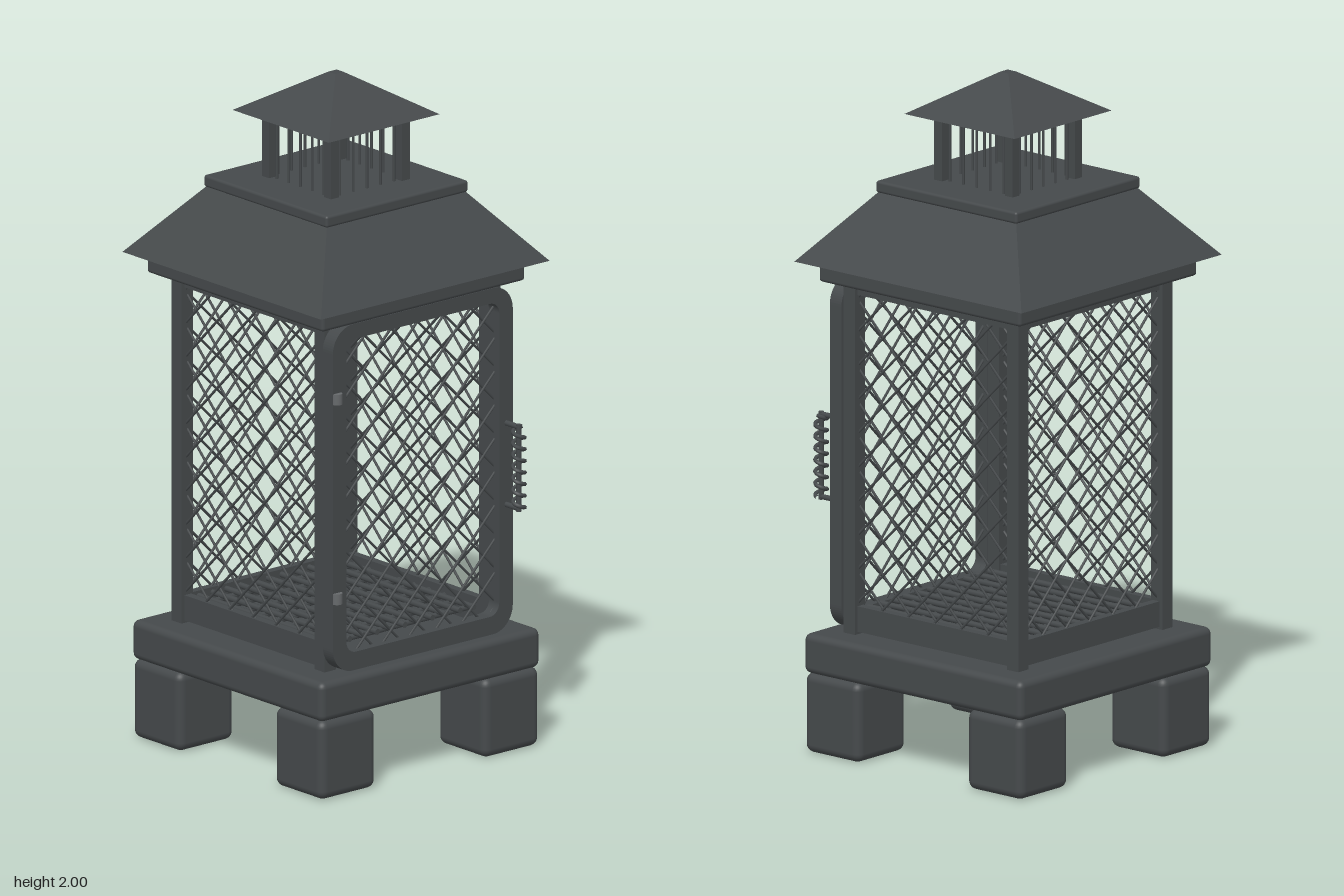
import * as THREE from 'three';
import { mergeGeometries } from 'three/addons/utils/BufferGeometryUtils.js';
import { RoundedBoxGeometry } from 'three/addons/geometries/RoundedBoxGeometry.js';

const iron = new THREE.MeshStandardMaterial({ color: 0x45494b });
const ironFlat = new THREE.MeshStandardMaterial({ color: 0x45494b, flatShading: true });
const steel = new THREE.MeshStandardMaterial({ color: 0x66696b });

export function createModel() {
  const model = new THREE.Group();
  model.name = 'outdoorFireplace';
  const body = new THREE.Group();
  body.name = 'body';
  body.position.z = -0.013;
  model.add(body);

  const add = (name, geo, x = 0, y = 0, z = 0, mat = iron, parent = body) => {
    const mesh = new THREE.Mesh(geo, mat);
    mesh.name = name;
    mesh.position.set(x, y, z);
    parent.add(mesh);
    return mesh;
  };
  // Rounded slab spanning y0..y1
  const slab = (name, w, y0, y1, r, x = 0, z = 0) =>
    add(name, new RoundedBoxGeometry(w, y1 - y0, w, 3, r), x, (y0 + y1) / 2, z);
  // Square frustum from half-width a at y0 to half-width b at y1
  const frustum = (name, a, b, y0, y1) => {
    const geo = new THREE.CylinderGeometry(b * Math.SQRT2, a * Math.SQRT2, y1 - y0, 4, 1);
    geo.rotateY(Math.PI / 4);
    return add(name, geo, 0, (y0 + y1) / 2, 0, ironFlat);
  };
  // Straight wire between two points
  const rod = (a, b, r, sides = 5) => {
    const d = b.clone().sub(a);
    const geo = new THREE.CylinderGeometry(r, r, d.length(), sides);
    geo.applyQuaternion(new THREE.Quaternion().setFromUnitVectors(new THREE.Vector3(0, 1, 0), d.normalize()));
    const m = a.clone().add(b).multiplyScalar(0.5);
    return geo.translate(m.x, m.y, m.z);
  };
  const V = (x, y, z) => new THREE.Vector3(x, y, z);

  // Feet and base
  for (const x of [-1, 1]) for (const z of [-1, 1]) slab('foot', 0.21, 0.005, 0.24, 0.025, x * 0.308, z * 0.308);
  slab('base', 0.828, 0.238, 0.355, 0.02);

  // Corner posts
  for (const x of [-1, 1]) for (const z of [-1, 1])
    add('cornerPost', new THREE.BoxGeometry(0.043, 1.05, 0.043), x * 0.31, 0.87, z * 0.31);

  // Diamond wire screen clipped to a rectangle in the xy plane
  const screenGeometry = (hw, y0, y1, step = 0.1) => {
    const wires = [];
    for (const s of [-1, 1]) {
      for (let c = y0 - hw + step / 2; c < y1 + hw; c += step) {
        // y = c + s * x
        const u0 = Math.max(-hw, y0 - c), u1 = Math.min(hw, y1 - c);
        if (u1 - u0 < 0.01) continue;
        const z = s * 0.002;
        wires.push(rod(V(s * u0, c + u0, z), V(s * u1, c + u1, z), 0.004));
      }
    }
    return mergeGeometries(wires);
  };
  const screen = screenGeometry(0.295, 0.385, 1.375);

  // Side and back walls: rails and screen
  for (const [name, angle] of [['left', Math.PI / 2], ['back', Math.PI], ['right', -Math.PI / 2]]) {
    const wall = new THREE.Group();
    wall.name = name + 'Wall';
    wall.rotation.y = angle;
    body.add(wall);
    add('lowerRail', new THREE.BoxGeometry(0.58, 0.075, 0.025), 0, 0.4, 0.308, iron, wall);
    add('upperRail', new THREE.BoxGeometry(0.58, 0.04, 0.025), 0, 1.375, 0.308, iron, wall);
    add('wireScreen', screen, 0, 0, 0.31, iron, wall);
  }

  // Door: rounded frame with a rounded opening
  const roundRect = (p, hw, y0, y1, r) => {
    p.moveTo(-hw + r, y0);
    p.lineTo(hw - r, y0);
    p.absarc(hw - r, y0 + r, r, -Math.PI / 2, 0);
    p.absarc(hw - r, y1 - r, r, 0, Math.PI / 2);
    p.absarc(-hw + r, y1 - r, r, Math.PI / 2, Math.PI);
    p.absarc(-hw + r, y0 + r, r, Math.PI, Math.PI * 1.5);
    return p;
  };
  const frame = roundRect(new THREE.Shape(), 0.339, 0.358, 1.39, 0.075);
  frame.holes.push(roundRect(new THREE.Path(), 0.288, 0.412, 1.345, 0.035));
  const door = new THREE.Group();
  door.name = 'door';
  body.add(door);
  add('doorFrame', new THREE.ExtrudeGeometry(frame, { depth: 0.044, bevelEnabled: false, curveSegments: 8 }),
    0, 0, 0.333, iron, door);
  add('doorScreen', screen, 0, 0, 0.352, iron, door);
  for (const y of [0.585, 1.18])
    add('hinge', new THREE.CylinderGeometry(0.016, 0.016, 0.032, 14), -0.323, y, 0.376, steel, door);

  // Coiled handle
  const hx = 0.315, hz = 0.431, h0 = 0.735, h1 = 0.978;
  add('handleRod', mergeGeometries([
    rod(V(hx, h0, 0.37), V(hx, h0, hz), 0.008, 10),
    rod(V(hx, h1, 0.37), V(hx, h1, hz), 0.008, 10),
    rod(V(hx, h0 - 0.008, hz), V(hx, h1 + 0.008, hz), 0.008, 10)]), 0, 0, 0, iron, door);
  const coil = [];
  for (let i = 0; i <= 84; i++) {
    const a = (i / 12) * Math.PI * 2;
    coil.push(V(hx + Math.cos(a) * 0.017, h0 + (h1 - h0) * i / 84, hz + Math.sin(a) * 0.017));
  }
  add('handleCoil', new THREE.TubeGeometry(new THREE.CatmullRomCurve3(coil), 168, 0.006, 6), 0, 0, 0, iron, door);

  // Log grate
  const bars = [];
  for (let i = -5; i <= 5; i++) bars.push(rod(V(i * 0.052, 0.422, -0.3), V(i * 0.052, 0.422, 0.3), 0.009, 8));
  for (let i = -4; i <= 4; i++) bars.push(rod(V(-0.3, 0.41, i * 0.065), V(0.3, 0.41, i * 0.065), 0.009, 8));
  add('grate', mergeGeometries(bars));

  // Main roof
  slab('roofBand', 0.765, 1.39, 1.452, 0.01);
  frustum('roof', 0.431, 0.258, 1.45, 1.655);
  slab('roofCap', 0.535, 1.65, 1.685, 0.008);

  // Chimney: corner posts and thin bars
  for (const x of [-1, 1]) for (const z of [-1, 1])
    add('chimneyPost', new THREE.BoxGeometry(0.03, 0.205, 0.03), x * 0.134, 1.782, z * 0.134);
  const thin = [];
  for (const s of [-0.134, 0.134]) for (let i = -2; i <= 2; i++) {
    const t = i * 0.051;
    thin.push(rod(V(t, 1.68, s), V(t, 1.885, s), 0.004, 6), rod(V(s, 1.68, t), V(s, 1.885, t), 0.004, 6));
  }
  add('chimneyBars', mergeGeometries(thin));
  frustum('chimneyRoof', 0.209, 0.016, 1.88, 2.0);

  return model;
}
